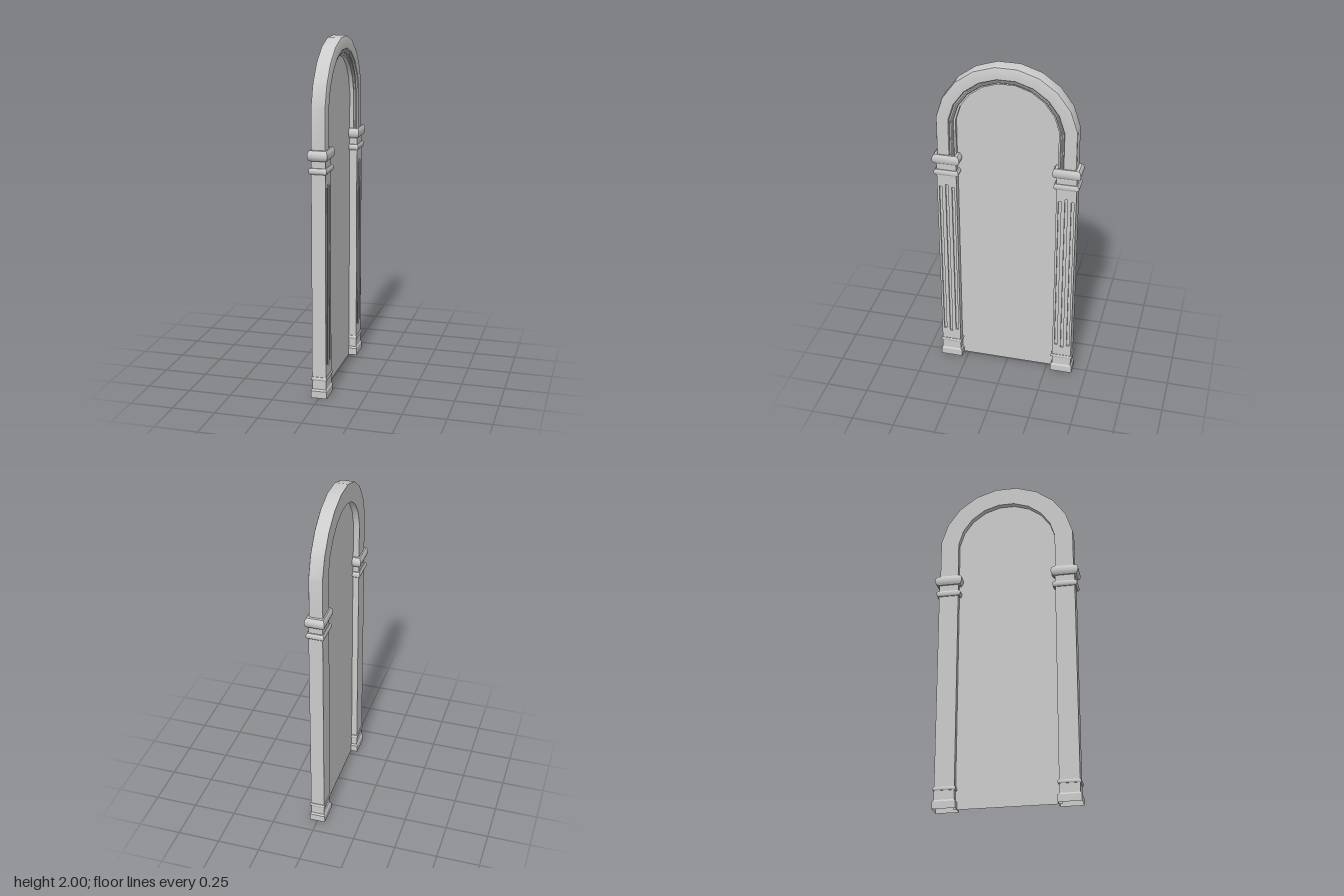
import * as THREE from 'three';
import { toCreasedNormals } from 'three/addons/utils/BufferGeometryUtils.js';

const HX = 0.04, HZ = 0.0575, PILLAR_Z = 0.3475, SPRING_Y = 1.6;
const material = new THREE.MeshStandardMaterial({ color: 0xcccccc, side: THREE.DoubleSide });

function add(parent, name, geometry, x = 0, y = 0, z = 0) {
  const mesh = new THREE.Mesh(geometry, material);
  mesh.name = name;
  mesh.position.set(x, y, z);
  parent.add(mesh);
  return mesh;
}

// Joins equal-length rows of points into a surface with sharp creases
function skin(rows, closed) {
  const n = rows[0].length, positions = rows.flat(2), index = [];
  for (let i = 0; i < rows.length - 1; i++) {
    for (let j = 0; j < (closed ? n : n - 1); j++) {
      const a = i * n + j, b = i * n + (j + 1) % n;
      index.push(a, a + n, b, b, a + n, b + n);
    }
  }
  const g = new THREE.BufferGeometry();
  g.setAttribute('position', new THREE.Float32BufferAttribute(positions, 3));
  g.setIndex(index);
  return toCreasedNormals(g, 0.5);
}

// Rectangular moulding around the pillar: levels are [height, projection]
function moulding(levels) {
  return skin(levels.map(([y, e]) => {
    const x = HX + e, z = HZ + 1.4 * e;
    return [[x, y, z], [x, y, -z], [-x, y, -z], [-x, y, z]];
  }), true);
}

// Rounded band whose ends run back into the shaft
function band(y0, y1, e) {
  const h = y1 - y0;
  return moulding([[y0, -0.004], [y0, e * 0.45], [y0 + h * 0.2, e * 0.85], [y0 + h * 0.4, e],
    [y0 + h * 0.6, e], [y0 + h * 0.8, e * 0.85], [y1, e * 0.45], [y1, -0.004]]);
}

// Front slab of the shaft, pierced by three flutes
function flutedFace(y0, y1, depth) {
  const rect = (T, x0, b, x1, t) => {
    const p = new T();
    p.moveTo(x0, b); p.lineTo(x1, b); p.lineTo(x1, t); p.lineTo(x0, t); p.closePath();
    return p;
  };
  const shape = rect(THREE.Shape, -HZ, y0, HZ, y1);
  for (const c of [-0.037, 0, 0.037]) {
    const extra = c === 0 ? 0.015 : 0;
    shape.holes.push(rect(THREE.Path, c - 0.008, 0.2 - extra, c + 0.008, 1.22 + extra));
  }
  return new THREE.ExtrudeGeometry(shape, { depth, bevelEnabled: false }).rotateY(Math.PI / 2);
}

function pillar(name, z) {
  const group = new THREE.Group(), y0 = 0.045, y1 = 1.41, groove = 0.01;
  group.name = name;
  group.position.z = z;
  add(group, 'shaftCore', new THREE.BoxGeometry(2 * HX - groove, y1 - y0, 2 * HZ), -groove / 2, (y0 + y1) / 2, 0);
  add(group, 'flutedFace', flutedFace(y0, y1, groove), HX - groove);
  add(group, 'plinth', moulding([[0, 0.006], [0.042, 0.006], [0.052, 0], [0.052, -0.004]]));
  add(group, 'baseRing', band(0.105, 0.125, 0.006));
  add(group, 'neckRing', band(1.298, 1.332, 0.011));
  add(group, 'capital', band(1.372, 1.43, 0.0165));
  return group;
}

// Stations around the arch at half-width d, as [z, y]
function archLine(d, footY) {
  const r = d / Math.cos(Math.PI / 20), line = [[d, footY]];
  for (let k = 0; k < 10; k++) {
    const a = (9 + 18 * k) * Math.PI / 180;
    line.push([r * Math.cos(a), SPRING_Y + r * Math.sin(a)]);
  }
  line.push([-d, footY]);
  return line;
}

export function createModel() {
  const model = new THREE.Group();
  model.name = 'archedDoorway';

  model.add(pillar('leftPillar', PILLAR_Z), pillar('rightPillar', -PILLAR_Z));

  // Arch swept from a moulded section: [half-width, x]
  const section = [[0.292, -0.04], [0.4, -0.04], [0.4, 0.03], [0.397, 0.037], [0.39, 0.04], [0.329, 0.04],
    [0.325, 0.036], [0.325, 0.026], [0.317, 0.026], [0.313, 0.03], [0.307, 0.03], [0.303, 0.026],
    [0.303, 0.018], [0.292, 0.018], [0.292, -0.04]];
  const rows = section.map(([d, x]) => archLine(d, 1.4).map(([z, y]) => [x, y, z]));
  add(model, 'arch', skin(rows.reverse(), false));

  // Thin panel filling the opening
  const outline = archLine(0.3, 0).map(([z, y]) => new THREE.Vector2(-z, y));
  add(model, 'panel', new THREE.ShapeGeometry(new THREE.Shape(outline)).rotateY(Math.PI / 2), -0.005);

  return model;
}
